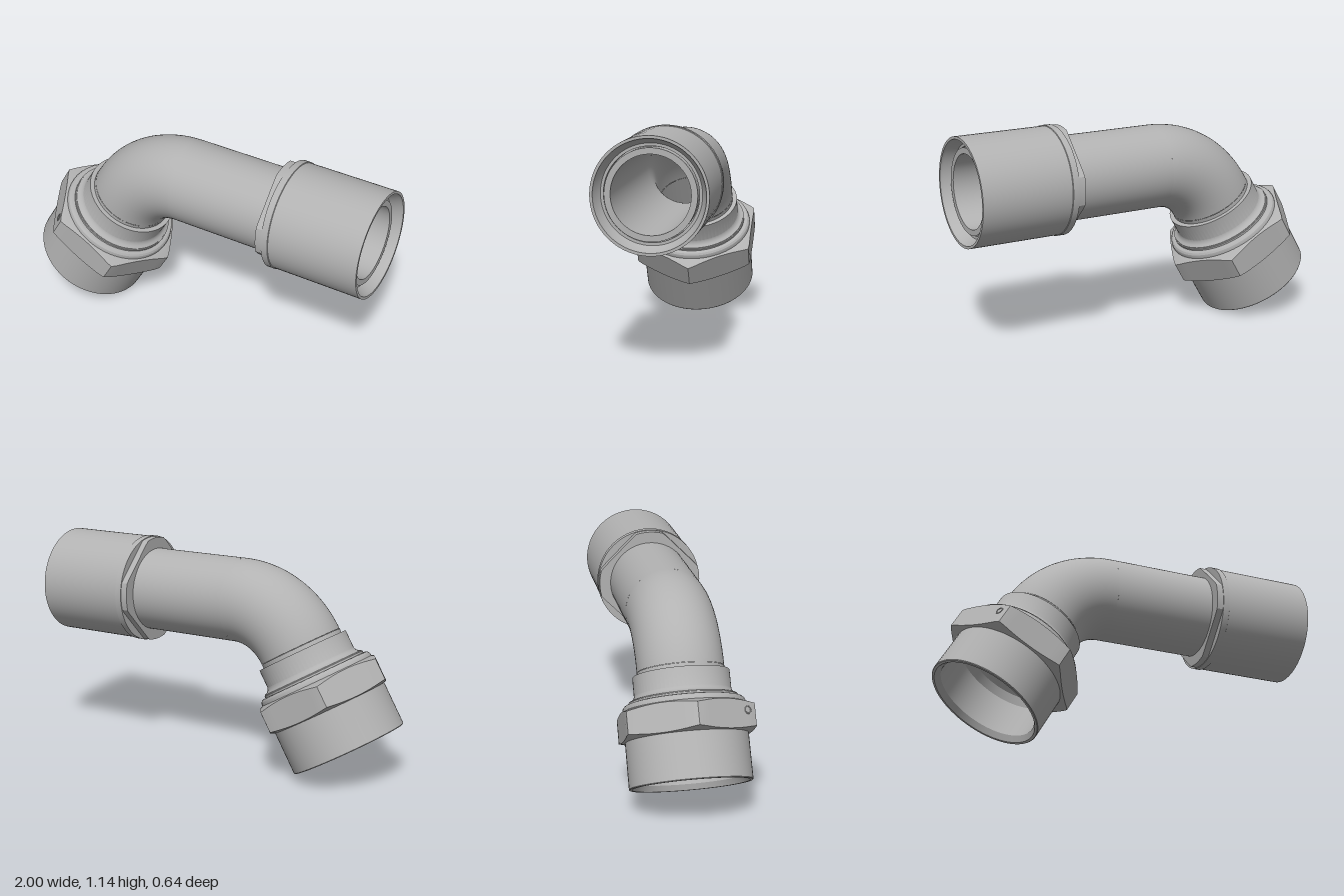
import * as THREE from 'three';
import { toCreasedNormals } from 'three/addons/utils/BufferGeometryUtils.js';

const SEG = 72;
const PIPE_R = 0.22, BORE_R = 0.19, BEND_R = 0.41;

export function createModel() {
  const model = new THREE.Group();
  model.name = 'elbowFitting';
  const steel = new THREE.MeshStandardMaterial({ color: 0xb2b2b2, side: THREE.DoubleSide });
  steel.name = 'steelGrey';

  const add = (parent, name, geometry) => {
    const mesh = new THREE.Mesh(geometry, steel);
    mesh.name = name;
    parent.add(mesh);
    return mesh;
  };

  // Turned part: profile is a list of [radius, distance along the axis]
  const turned = (profile) => toCreasedNormals(
    new THREE.LatheGeometry(profile.map(([r, y]) => new THREE.Vector2(r, y)), SEG), 0.4);

  // Turned part with flats: the profile depends on the radius at each angle
  const flatted = (sides, apothem, maxR, phase, profileAt) => {
    const pos = [], index = [];
    let n = 0;
    for (let i = 0; i <= SEG; i++) {
      const a = (i / SEG) * Math.PI * 2, step = (Math.PI * 2) / sides;
      const off = a - phase - Math.round((a - phase) / step) * step;
      const profile = profileAt(Math.min(maxR, apothem / Math.cos(off)));
      n = profile.length;
      for (const [r, y] of profile) pos.push(r * Math.cos(a), y, r * Math.sin(a));
    }
    for (let i = 0; i < SEG; i++) {
      for (let j = 0; j < n - 1; j++) {
        const p = i * n + j, q = p + n;
        index.push(p, p + 1, q, q, p + 1, q + 1);
      }
    }
    const g = new THREE.BufferGeometry();
    g.setAttribute('position', new THREE.Float32BufferAttribute(pos, 3));
    g.setIndex(index);
    return toCreasedNormals(g, 0.4);
  };

  // Swept 60 degree bend, outside and bore
  const bend = new THREE.Group();
  bend.name = 'bend';
  bend.position.set(-0.091, 0.86 - BEND_R, 0);
  bend.rotation.z = Math.PI / 2;
  model.add(bend);
  for (const [name, r] of [['bendOutside', PIPE_R], ['bendBore', BORE_R]]) {
    add(bend, name, new THREE.TorusGeometry(BEND_R, r, 64, 40, Math.PI / 3));
  }

  // Horizontal arm: local y runs along +x
  const arm = new THREE.Group();
  arm.name = 'straightArm';
  arm.position.y = 0.86;
  arm.rotation.z = -Math.PI / 2;
  model.add(arm);
  add(arm, 'straightPipe', turned([
    [PIPE_R, -0.091], [PIPE_R, 0.96], [BORE_R, 0.96], [BORE_R, -0.091],
  ]));
  add(arm, 'crimpCollar', turned([
    [PIPE_R, 0.485], [0.284, 0.485], [0.284, 0.52], [0.28, 0.522], [0.28, 1],
    [0.266, 1], [0.264, 0.985], [0.24, 0.94], [0.226, 0.94], [0.226, 0.9], [PIPE_R, 0.9],
  ]));
  // Collar lip with four flats
  add(arm, 'collarLip', flatted(4, 0.245, 0.28, Math.PI / 4,
    (r) => [[PIPE_R, 0.45], [r, 0.45], [r, 0.485]]));

  // Nut end: local y runs from the open face up toward the bend
  const nutEnd = new THREE.Group();
  nutEnd.name = 'nutEnd';
  nutEnd.position.set(-0.735, 0.155, 0);
  nutEnd.rotation.z = -Math.PI / 6;
  model.add(nutEnd);
  add(nutEnd, 'nutSkirt', turned([
    [BORE_R, 0.3], [0.25, 0.26], [0.272, 0.22], [0.272, 0.03], [0.292, 0],
    [0.305, 0], [0.308, 0.004], [0.308, 0.24],
  ]));
  add(nutEnd, 'hexNut', flatted(6, 0.32, 0.366, Math.PI / 6, (r) => [
    [0.3, 0.229], [r, 0.229 + (r - 0.3) * 0.3], [r, 0.385 - (r - 0.305) * 0.4],
    [0.305, 0.385], [0.27, 0.385],
  ]));
  // Rounded retaining ring on top of the nut
  add(nutEnd, 'retainingRing', turned([
    [0.308, 0.38], [0.308, 0.392], [0.304, 0.403], [0.296, 0.411], [0.286, 0.414],
    [0.277, 0.414], [0.277, 0.424], [0.27, 0.428],
  ]));
  // Sleeve flaring into the nut, and the pipe inside it
  add(nutEnd, 'sleeve', turned([
    [0.275, 0.415], [0.272, 0.43], [0.258, 0.437], [0.249, 0.446], [0.244, 0.458],
    [0.244, 0.555], [PIPE_R, 0.555],
  ]));
  add(nutEnd, 'innerPipe', turned([
    [BORE_R, 0.576], [BORE_R, 0.3], [PIPE_R, 0.3], [PIPE_R, 0.576],
  ]));

  // Small round mark on one nut flat
  const mark = add(nutEnd, 'nutMark', new THREE.TorusGeometry(0.018, 0.003, 8, 24));
  const n = new THREE.Vector3(-Math.cos(Math.PI / 6), 0, 0.5);
  mark.position.set(-0.212, 0.325, 0.274);
  mark.quaternion.setFromUnitVectors(new THREE.Vector3(0, 0, 1), n);

  return model;
}
